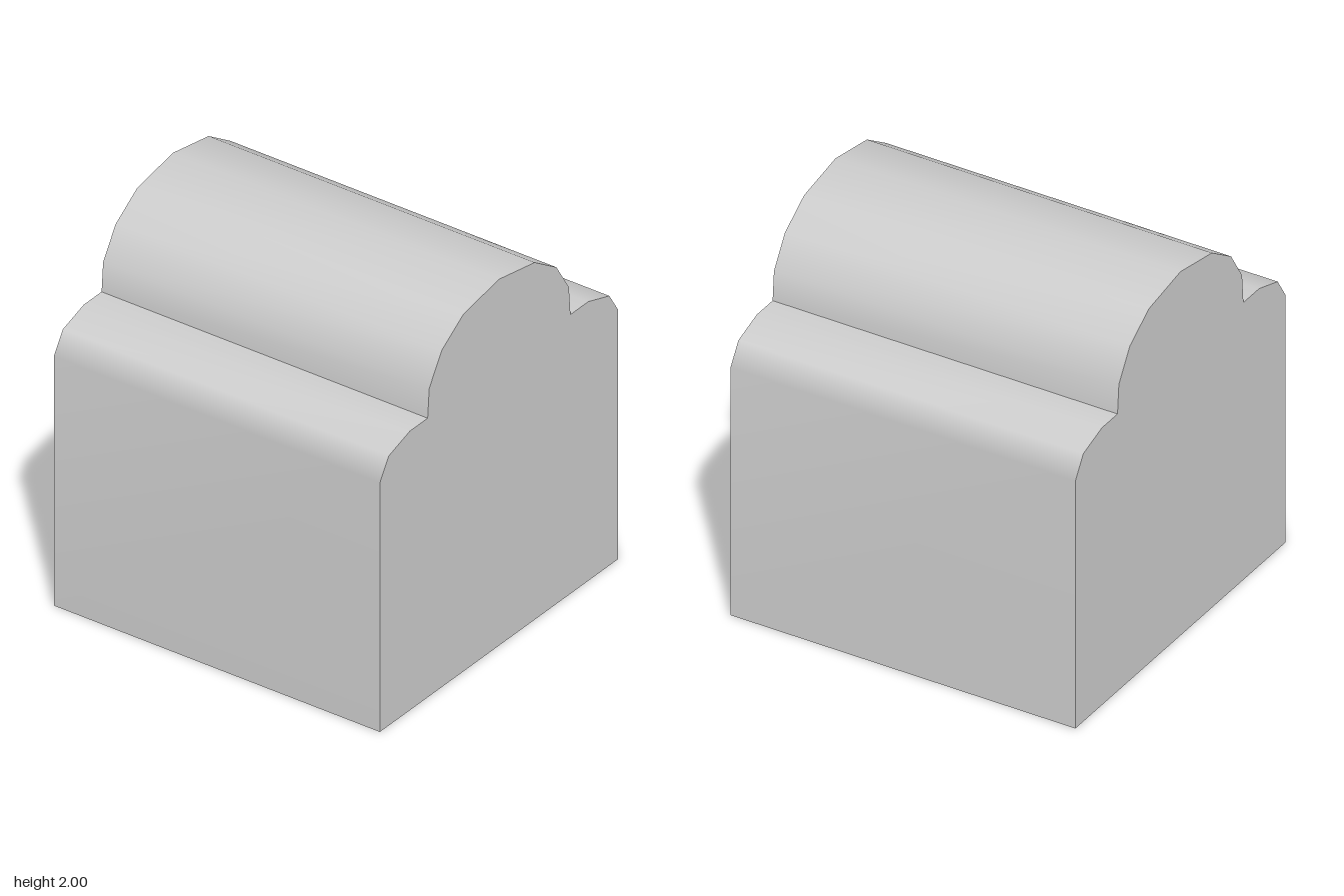
import * as THREE from 'three';

const HALF_WIDTH = 0.935;

// Half profiles as [z, y], running from the front up and over
const shoulder = [[0.935, 0], [0.935, 1.36], [0.865, 1.472], [0.7, 1.524], [0.56, 1.524]];
const halfArch = [[0.56, 1.524], [0.548, 1.68], [0.45, 1.838], [0.28, 1.95], [0, 2]];
const mirror = (points) => points.map(([z, y]) => [-z, y]).reverse();

// Smooth strip running the full width along a profile
function stripGeometry(profile) {
  const positions = [];
  const indices = [];
  profile.forEach(([z, y], i) => {
    positions.push(-HALF_WIDTH, y, z, HALF_WIDTH, y, z);
    if (i === 0) return;
    const a = 2 * (i - 1);
    indices.push(a, a + 1, a + 3, a, a + 3, a + 2);
  });
  const geometry = new THREE.BufferGeometry();
  geometry.setAttribute('position', new THREE.Float32BufferAttribute(positions, 3));
  geometry.setIndex(indices);
  geometry.computeVertexNormals();
  return geometry;
}

export function createModel() {
  const group = new THREE.Group();
  group.name = 'moldedShell';
  const grey = new THREE.MeshStandardMaterial({ color: 0xcccccc, side: THREE.DoubleSide });
  grey.name = 'lightGrey';

  const add = (name, geometry) => {
    const mesh = new THREE.Mesh(geometry, grey);
    mesh.name = name;
    group.add(mesh);
    return mesh;
  };

  // Walls with rounded shoulders, and the arched top; the underside stays open
  const arch = [...halfArch, ...mirror(halfArch).slice(1)];
  add('frontWall', stripGeometry(shoulder));
  add('archedTop', stripGeometry(arch));
  add('backWall', stripGeometry(mirror(shoulder)));

  // Flat end walls cut to the full profile
  const outline = [...shoulder, ...arch.slice(1), ...mirror(shoulder).slice(1)];
  const shape = new THREE.Shape(outline.map(([z, y]) => new THREE.Vector2(z, y)));
  for (const side of [-1, 1]) {
    const end = add(side > 0 ? 'leftEnd' : 'rightEnd', new THREE.ShapeGeometry(shape));
    end.rotation.y = side * Math.PI / 2;
    end.position.x = side * HALF_WIDTH;
  }
  return group;
}
